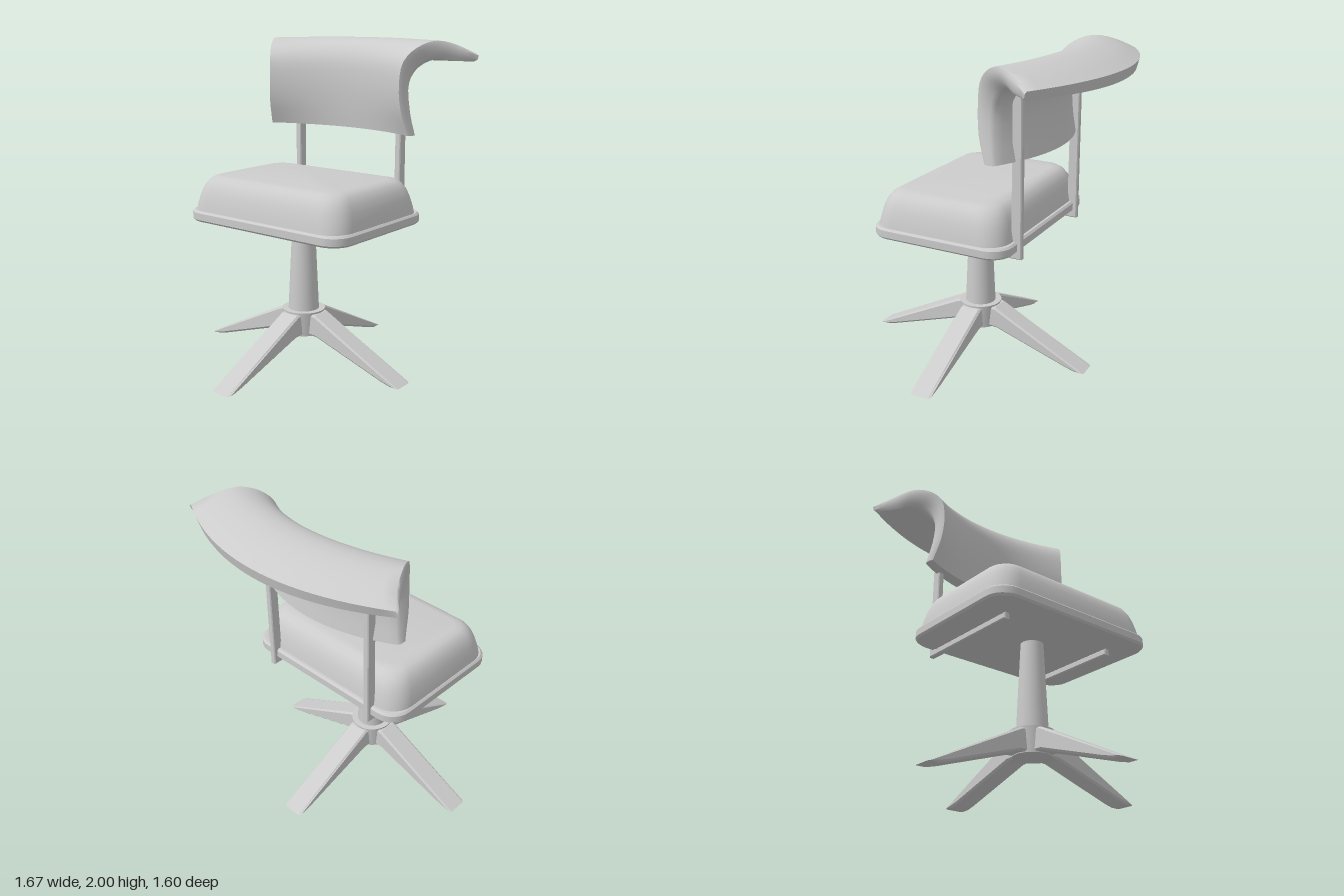
import * as THREE from 'three';
import { toCreasedNormals } from 'three/addons/utils/BufferGeometryUtils.js';

const material = new THREE.MeshStandardMaterial({ color: 0xcccccc });

function addMesh(parent, name, geometry) {
  const mesh = new THREE.Mesh(geometry, material);
  mesh.name = name;
  parent.add(mesh);
  return mesh;
}

// Side profile (x, y) extruded along z, centred, with bevelled edges
function slab(points, width, bevel) {
  const shape = new THREE.Shape(points.map(([x, y]) => new THREE.Vector2(x, y)));
  const g = new THREE.ExtrudeGeometry(shape, {
    depth: width - 2 * bevel, bevelEnabled: true, bevelSize: bevel,
    bevelThickness: bevel, bevelOffset: -bevel, bevelSegments: 1,
  });
  return g.translate(0, 0, -width / 2 + bevel);
}

// Skin between loops of points, all of equal length; caps are optional index triples
function skin(loops, caps, crease) {
  const n = loops[0].length, index = [];
  for (let j = 0; j < loops.length - 1; j++) {
    for (let i = 0; i < n; i++) {
      const a = j * n + i, b = j * n + (i + 1) % n;
      index.push(a, b, b + n, a, b + n, a + n);
    }
  }
  const g = new THREE.BufferGeometry().setFromPoints(loops.flat());
  g.setIndex(index.concat(caps));
  return toCreasedNormals(g, crease);
}

// Horizontal rounded rectangle, counter-clockwise as seen from above
function roundedLoop(cx, hx, hz, r, y) {
  const pts = [], steps = 6;
  [[1, 1], [-1, 1], [-1, -1], [1, -1]].forEach(([sx, sz], q) => {
    for (let i = 0; i <= steps; i++) {
      const a = (q + i / steps) * Math.PI / 2;
      pts.push(new THREE.Vector3(
        cx + sx * (hx - r) + r * Math.cos(a), y, -(sz * (hz - r) + r * Math.sin(a))));
    }
  });
  return pts;
}

// Stack of rounded rectangles given as [inset, y, radius]
function stackedPad(cx, hx, hz, levels) {
  const loops = levels.map(([d, y, r]) => roundedLoop(cx, hx - d, hz - d, r, y));
  const n = loops[0].length, last = (loops.length - 1) * n, caps = [];
  for (let i = 1; i < n - 1; i++) {
    caps.push(0, i + 1, i, last, last + i, last + i + 1);
  }
  return skin(loops, caps, 0.75);
}

// Curved backrest: a hooked section swept from side to side
function backrestGeometry() {
  // centre x, centre y, end x, end y, end z
  const section = [
    [0.37, 1.43, 0.24, 1.43, 0.555], [0.35, 1.58, 0.19, 1.58, 0.53],
    [0.34, 1.74, 0.18, 1.74, 0.52], [0.355, 1.88, 0.2, 1.87, 0.535],
    [0.42, 1.97, 0.27, 1.95, 0.585], [0.54, 2.0, 0.38, 1.99, 0.65],
    [0.70, 1.97, 0.5, 1.965, 0.72], [0.835, 1.915, 0.6, 1.91, 0.8],
    [0.82, 1.85, 0.59, 1.865, 0.79], [0.68, 1.875, 0.49, 1.87, 0.71],
    [0.56, 1.89, 0.41, 1.88, 0.63], [0.49, 1.84, 0.34, 1.83, 0.55],
    [0.455, 1.74, 0.29, 1.74, 0.52], [0.45, 1.58, 0.29, 1.58, 0.53],
    [0.465, 1.43, 0.31, 1.43, 0.555],
  ];
  const cols = 24, loops = [];
  const half = (pts, steps) => new THREE.CatmullRomCurve3(pts, false, 'centripetal').getPoints(steps);
  for (let c = -1; c <= cols + 1; c++) {
    const t = (Math.min(Math.max(c, 0), cols) / cols * 2 - 1) * 0.975;
    const pts = section.map(([cx, cy, ex, ey, ez]) => new THREE.Vector3(
      cx + (ex - cx) * t * t, cy + (ey - cy) * t * t, ez * t));
    // front and top face, then underside and rear face
    const front = half(pts.slice(0, 8), 21), rear = half(pts.slice(8), 21);
    const loop = [...front, ...rear];
    if (c < 0 || c > cols) {
      // pinched, rounded-off end
      for (let i = 0; i < 22; i++) {
        const a = loop[i], b = loop[43 - i], mid = a.clone().lerp(b, 0.5);
        a.lerp(mid, 0.45);
        b.lerp(mid, 0.45);
        a.z /= 0.975;
        b.z /= 0.975;
      }
    }
    loops.push(loop);
  }
  const n = 44, last = (loops.length - 1) * n, caps = [];
  for (let i = 0; i < 21; i++) {
    const a = i, b = i + 1, c = n - 2 - i, d = n - 1 - i;
    caps.push(a, c, b, a, d, c, last + a, last + b, last + c, last + a, last + c, last + d);
  }
  // loops run clockwise seen from +z, so the winding is reversed
  const flipped = loops.map((l) => l.slice().reverse());
  const flippedCaps = caps.map((k) => Math.floor(k / n) * n + (n - 1 - k % n));
  for (let i = 0; i < flippedCaps.length; i += 3) {
    [flippedCaps[i + 1], flippedCaps[i + 2]] = [flippedCaps[i + 2], flippedCaps[i + 1]];
  }
  return skin(flipped, flippedCaps, 0.9);
}

export function createModel() {
  const chair = new THREE.Group();
  chair.name = 'swivelChair';

  // Four-legged base
  const base = new THREE.Group();
  base.name = 'base';
  base.position.x = -0.08;
  chair.add(base);
  const legProfile = [[0.06, 0.18], [0.15, 0.175], [0.64, 0.015], [0.70, 0], [0.76, 0], [0.14, 0.315], [0.06, 0.325]];
  for (let i = 0; i < 4; i++) {
    addMesh(base, 'leg', slab(legProfile, 0.14, 0.012)).rotation.y = i * Math.PI / 2;
  }
  addMesh(base, 'hub', new THREE.CylinderGeometry(0.135, 0.12, 0.155, 32)).position.y = 0.25;
  addMesh(base, 'column', new THREE.CylinderGeometry(0.07, 0.097, 0.58, 32)).position.y = 0.61;

  // Seat
  const seat = new THREE.Group();
  seat.name = 'seat';
  chair.add(seat);
  addMesh(seat, 'seatPlate', stackedPad(-0.065, 0.455, 0.602, [
    [0.012, 0.89, 0.12], [0, 0.902, 0.13], [0, 0.945, 0.13], [0.012, 0.957, 0.12]]));
  addMesh(seat, 'seatCushion', stackedPad(-0.07, 0.435, 0.588, [
    [0, 0.95, 0.14], [0.008, 1.0, 0.14], [0.022, 1.06, 0.14], [0.04, 1.105, 0.13],
    [0.065, 1.142, 0.12], [0.095, 1.162, 0.1], [0.135, 1.17, 0.08]]));

  // L-shaped bars under the seat that carry the backrest
  const barProfile = [[-0.33, 0.85], [0.415, 0.85], [0.41, 1.87], [0.385, 1.865],
    [0.35, 1.83], [0.35, 0.89], [-0.33, 0.89]];
  for (const side of [-1, 1]) {
    addMesh(chair, 'backSupport', slab(barProfile, 0.04, 0.006)).position.z = side * 0.4;
  }

  addMesh(chair, 'backrest', backrestGeometry());
  return chair;
}
